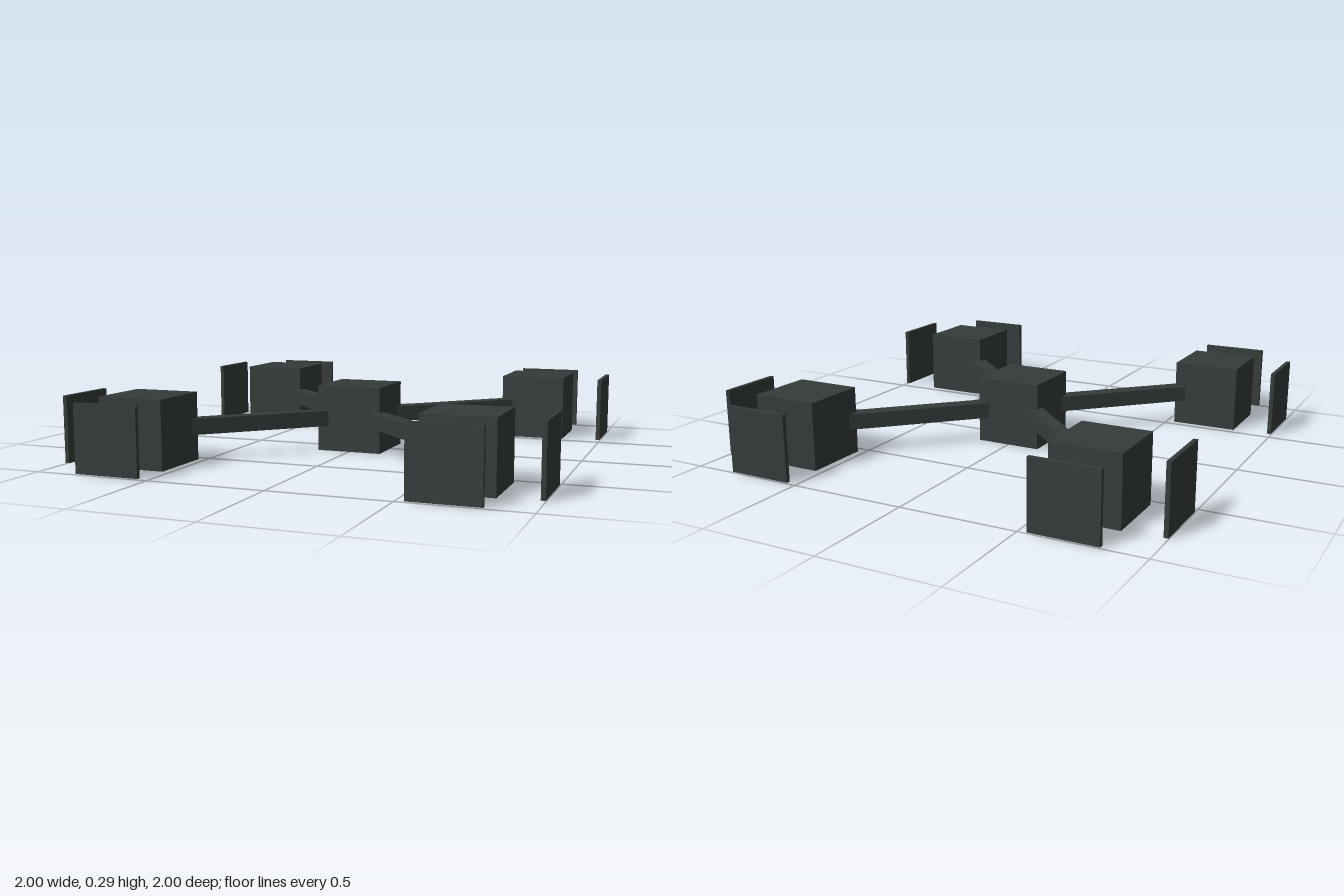
import * as THREE from 'three';

const SIZE = 0.29;    // cube edge
const MID = SIZE / 2; // height of every part's centre
const REACH = 0.68;   // corner cube offset along x and z
const BAR = 0.068;    // arm thickness
const PLATE = 0.018;  // panel thickness

export function createModel() {
  const group = new THREE.Group();
  const charcoal = new THREE.MeshStandardMaterial({ color: 0x353c3b });
  charcoal.name = 'charcoal';

  const addBox = (name, [w, h, d], [x, z], turn = 0) => {
    const mesh = new THREE.Mesh(new THREE.BoxGeometry(w, h, d), charcoal);
    mesh.name = name;
    mesh.position.set(x, MID, z);
    mesh.rotation.y = turn;
    group.add(mesh);
  };

  addBox('centreCube', [SIZE, SIZE, SIZE], [0, 0]);

  const panel = SIZE - 0.008;
  const edge = 1 - PLATE / 2;
  const armLength = (REACH - 0.12) * Math.SQRT2;

  for (const sx of [-1, 1]) {
    for (const sz of [-1, 1]) {
      const corner = (sz > 0 ? 'front' : 'back') + (sx > 0 ? 'Left' : 'Right');
      const x = sx * REACH, z = sz * REACH;
      addBox(corner + 'Cube', [SIZE, SIZE, SIZE], [x, z]);
      // Diagonal arm, its ends sunk into both cubes
      addBox(corner + 'Arm', [armLength, BAR, BAR], [x / 2, z / 2], -sx * sz * Math.PI / 4);
      // Two thin panels floating outside the cube
      addBox(corner + 'SidePanel', [PLATE, panel, panel], [sx * edge, z]);
      addBox(corner + 'EndPanel', [panel, panel, PLATE], [x, sz * edge]);
    }
  }
  return group;
}
